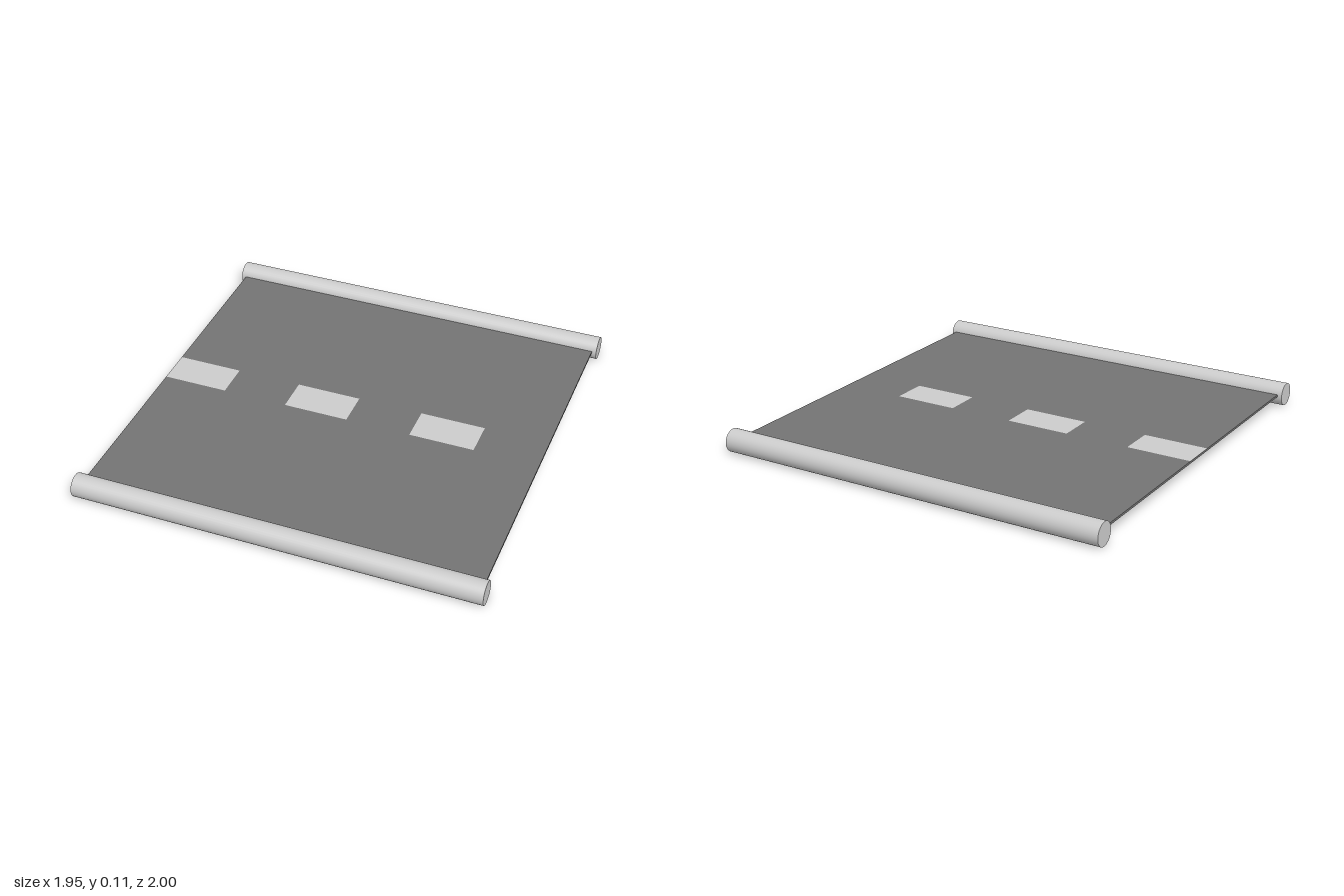
import * as THREE from 'three';

export function createModel() {
  const model = new THREE.Group();
  const grey = new THREE.MeshStandardMaterial({ color: 0xcccccc });
  const asphalt = new THREE.MeshStandardMaterial({ color: 0x737373 });

  const add = (name, geometry, material, x, y, z) => {
    const mesh = new THREE.Mesh(geometry, material);
    mesh.name = name;
    mesh.position.set(x, y, z);
    model.add(mesh);
    return mesh;
  };

  // Thin road slab between the two rails
  add('roadSlab', new THREE.BoxGeometry(1.904, 0.011, 1.89), asphalt, 0, 0.06, 0);

  // Round rails along the front and back edges
  const rail = new THREE.CylinderGeometry(0.056, 0.056, 1.948, 32).rotateZ(Math.PI / 2);
  add('frontRail', rail, grey, 0, 0.056, 0.944);
  add('backRail', rail, grey, 0, 0.056, -0.944);

  // Dashed centre line, starting at the right edge
  const dash = new THREE.PlaneGeometry(0.317, 0.175).rotateX(-Math.PI / 2);
  for (let i = 0; i < 3; i++) {
    add('laneDash' + (i + 1), dash, grey, -0.793 + i * 0.635, 0.0665, -0.014);
  }

  return model;
}
